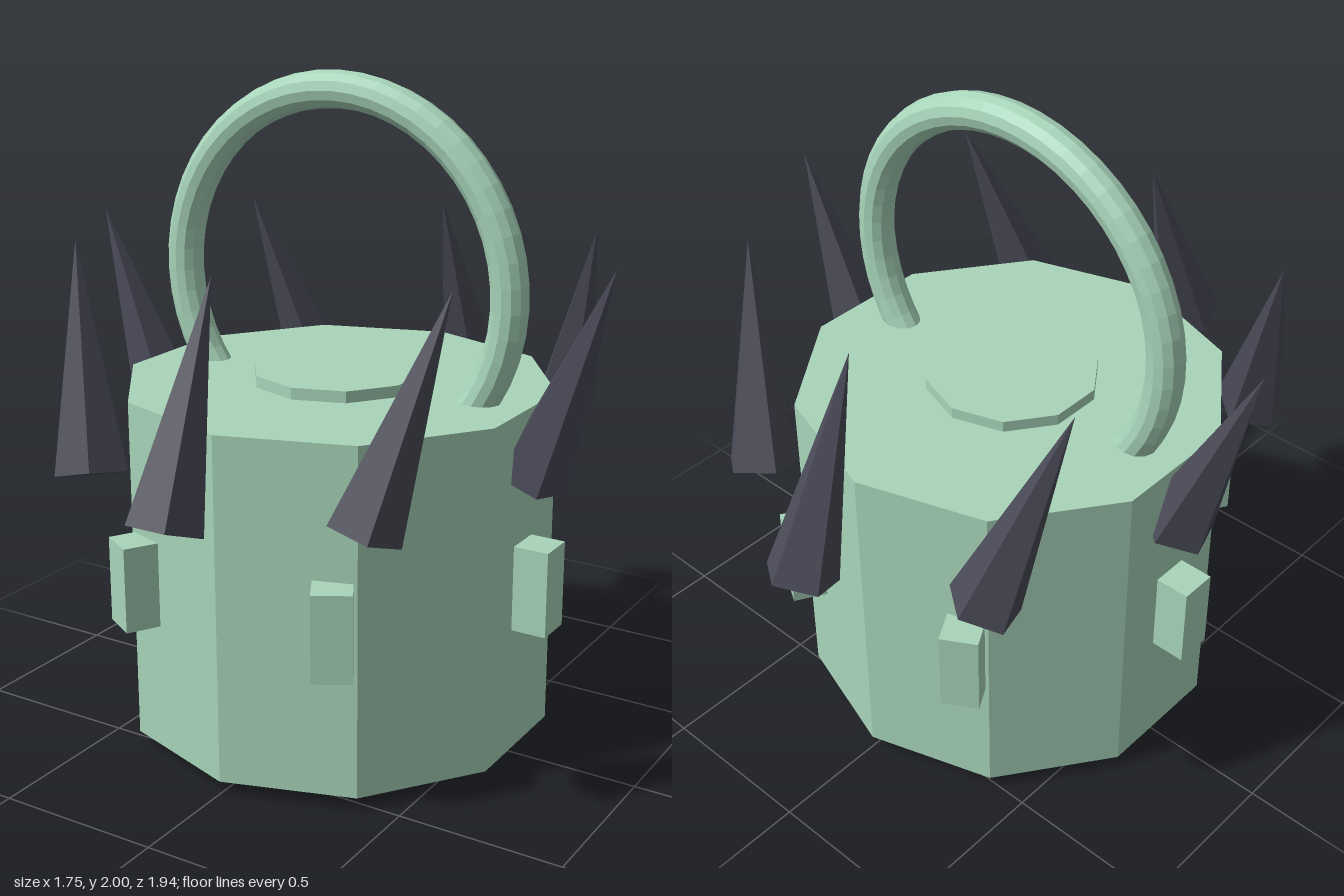
import * as THREE from 'three';

export function createModel() {
  const model = new THREE.Group();
  const mint = new THREE.MeshStandardMaterial({ color: 0xa8d5ba, flatShading: true });
  mint.name = 'mint';
  const slate = new THREE.MeshStandardMaterial({ color: 0x4a4a58, flatShading: true });
  slate.name = 'slate';

  const core = new THREE.Group();
  core.name = 'core';
  core.position.z = 0.01;
  model.add(core);

  const add = (name, geometry, material, x = 0, y = 0, z = 0) => {
    const mesh = new THREE.Mesh(geometry, material);
    mesh.name = name;
    mesh.position.set(x, y, z);
    core.add(mesh);
    return mesh;
  };

  // Ten-sided drum with a small raised disc on each end
  add('body', new THREE.CylinderGeometry(0.655, 0.655, 1.045, 10), mint, 0, 0.5625);
  add('topDisc', new THREE.CylinderGeometry(0.263, 0.263, 0.06, 10), mint, 0, 1.09);
  add('bottomDisc', new THREE.CylinderGeometry(0.263, 0.263, 0.06, 10), mint, 0, 0.03);

  // Ring handle whose ends sink into the top of the drum
  const dip = 0.66;
  const handleGeometry = new THREE.TorusGeometry(0.56, 0.055, 12, 36, Math.PI + 2 * dip);
  handleGeometry.rotateZ(-dip);
  add('handle', handleGeometry, mint, 0, 1.385);

  // Six studs around the waist
  const studGeometry = new THREE.BoxGeometry(0.16, 0.26, 0.115);
  for (let i = 0; i < 6; i++) {
    const a = (i * Math.PI) / 3;
    const stud = add('stud', studGeometry, mint, Math.cos(a) * 0.65, 0.56, Math.sin(a) * 0.65);
    stud.rotation.y = -a;
  }

  // Eight spikes: the side ones lean outward, the front and back ones inward
  const spikeGeometry = new THREE.ConeGeometry(0.11, 0.68, 5, 1, false, Math.PI);
  const up = new THREE.Vector3(0, 1, 0);
  const tilt = 0.35;
  for (let i = 0; i < 8; i++) {
    const a = (i * Math.PI) / 4;
    const spike = add('spike', spikeGeometry, slate, Math.cos(a) * 0.758, 1.2, Math.sin(a) * 0.758);
    const lean = new THREE.Vector3(
      Math.cos(a) * Math.sin(tilt), Math.cos(tilt), -Math.sin(a) * Math.sin(tilt));
    spike.quaternion.setFromUnitVectors(up, lean);
  }
  return model;
}
